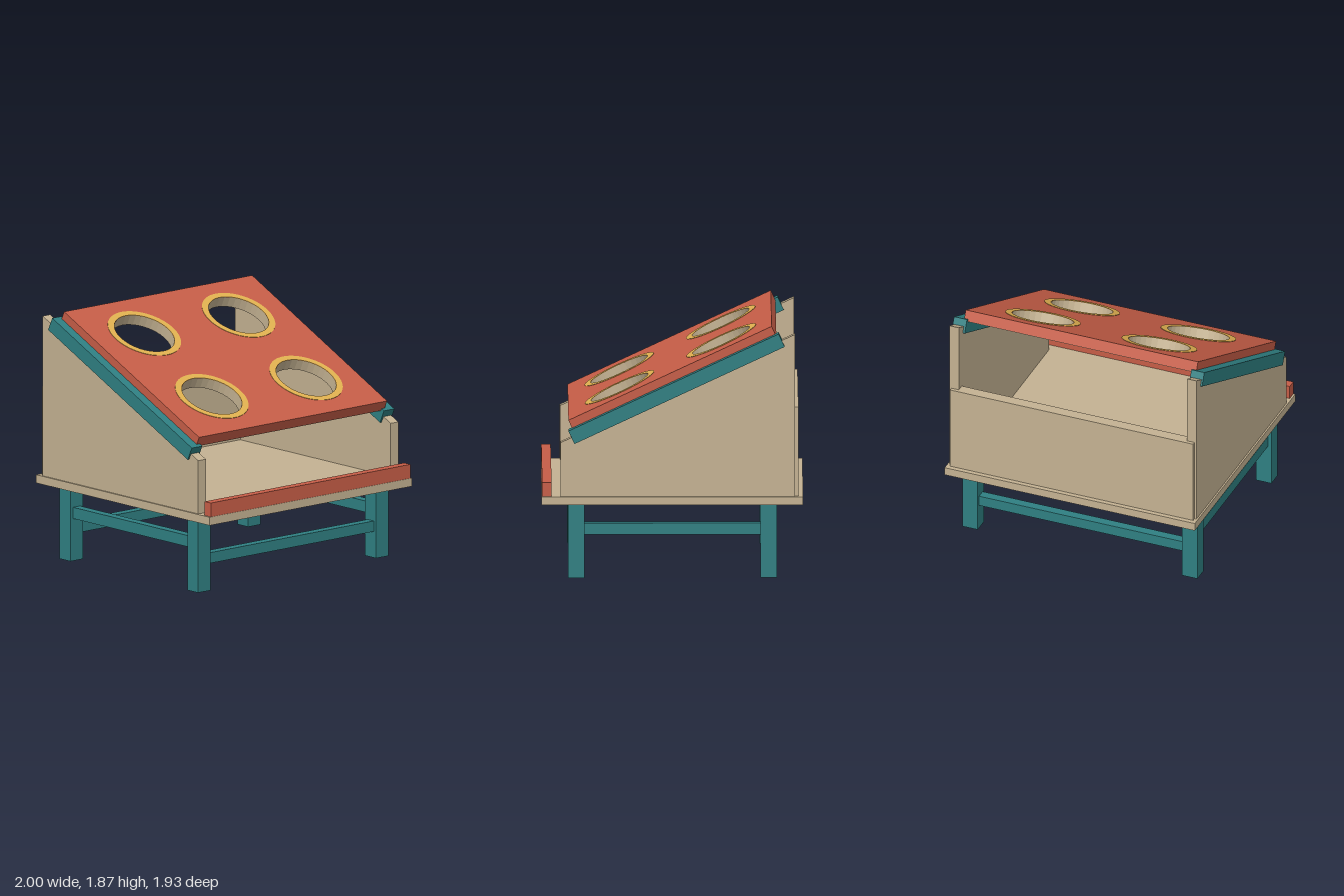
import * as THREE from 'three';

const paint = (color) => new THREE.MeshStandardMaterial({ color, flatShading: true, side: THREE.DoubleSide });

export function createModel() {
  const model = new THREE.Group();
  const red = paint(0xc65d47), teal = paint(0x2f7f82), wood = paint(0xc4b292), yellow = paint(0xe0b050);
  const tilt = THREE.MathUtils.degToRad(25);

  const add = (parent, name, geometry, material, x = 0, y = 0, z = 0) => {
    const mesh = new THREE.Mesh(geometry, material);
    mesh.name = name;
    mesh.position.set(x, y, z);
    parent.add(mesh);
    return mesh;
  };
  // Box given by its limits on each axis
  const box = (name, material, [x0, x1], [y0, y1], [z0, z1]) =>
    add(model, name, new THREE.BoxGeometry(x1 - x0, y1 - y0, z1 - z0), material,
      (x0 + x1) / 2, (y0 + y1) / 2, (z0 + z1) / 2);

  // Deck, front lip and back panel
  box('deck', wood, [-1, 1], [0.55, 0.612], [-0.965, 0.965]);
  box('frontLip', red, [-0.985, 0.985], [0.612, 0.717], [0.892, 0.962]);
  box('backPanel', wood, [-0.972, 0.972], [0.612, 1.278], [-0.93, -0.846]);

  // Side profile, drawn with x as -z so that it extrudes sideways
  const profile = new THREE.Shape([[-0.825, 0.612], [0.903, 0.612], [0.903, 1.82], [-0.825, 1.015]]
    .map(([a, b]) => new THREE.Vector2(a, b)));
  const sideGeometry = new THREE.ExtrudeGeometry(profile, { depth: 0.075, bevelEnabled: false });
  sideGeometry.translate(0, 0, -0.0375).rotateY(Math.PI / 2);

  for (const s of [-1, 1]) {
    const side = s > 0 ? 'left' : 'right';
    add(model, side + 'SidePanel', sideGeometry, wood, s * 0.95);

    // Sloping rail along the top of each side
    const rail = add(model, side + 'SlopeRail', new THREE.BoxGeometry(0.103, 0.106, 1.712), teal,
      s * 0.9485, 1.416, -0.03);
    rail.rotation.x = tilt;

    // Legs and side stretchers
    for (const f of [-1, 1]) {
      add(model, side + (f > 0 ? 'FrontLeg' : 'BackLeg'), new THREE.BoxGeometry(0.123, 0.55, 0.12), teal,
        s * 0.878, 0.275, f * 0.71);
    }
    add(model, side + 'Stretcher', new THREE.BoxGeometry(0.07, 0.085, 1.3), teal, s * 0.878, 0.362, 0);
    add(model, s > 0 ? 'frontStretcher' : 'backStretcher', new THREE.BoxGeometry(1.633, 0.08, 0.07), teal,
      0, 0.238, s * 0.71);
  }

  // Tilted target board: local y = 0 is its upper surface
  const board = new THREE.Group();
  board.name = 'targetBoard';
  board.position.set(0, 1.5225, 0.018);
  board.rotation.x = tilt;
  model.add(board);

  const w = 0.928, l = 0.8275, thick = 0.083, holeRadius = 0.232;
  const holes = [-1, 1].flatMap((s) => [-0.419, 0.408].map((z) => [s * 0.465, z]));
  const circle = (r, path, x = 0, y = 0) => path.absarc(x, y, r, 0, Math.PI * 2, false);
  const flat = (shape, depth) => new THREE.ExtrudeGeometry(shape, { depth, bevelEnabled: false, curveSegments: 32 })
    .rotateX(-Math.PI / 2);

  const plate = (radius) => {
    const shape = new THREE.Shape([[-w, -l], [w, -l], [w, l], [-w, l]].map(([a, b]) => new THREE.Vector2(a, b)));
    for (const [x, z] of holes) shape.holes.push(circle(radius, new THREE.Path(), x, -z));
    return shape;
  };
  add(board, 'boardFace', flat(plate(holeRadius + 0.003), thick - 0.003), red, 0, -thick + 0.003, 0);
  add(board, 'boardUnderside', flat(plate(holeRadius), 0.003), wood, 0, -thick, 0);

  // Bare wood hole walls and painted rings
  const ringShape = circle(0.282, new THREE.Shape());
  ringShape.holes.push(circle(holeRadius, new THREE.Path()));
  const ringGeometry = flat(ringShape, 0.003);
  const wallGeometry = new THREE.CylinderGeometry(holeRadius, holeRadius, thick, 32, 1, true)
    .rotateY(Math.PI / 2);
  for (const [x, z] of holes) {
    add(board, 'holeWall', wallGeometry, wood, x, -thick / 2, z);
    add(board, 'holeRing', ringGeometry, yellow, x, 0.0005, z);
  }
  return model;
}
